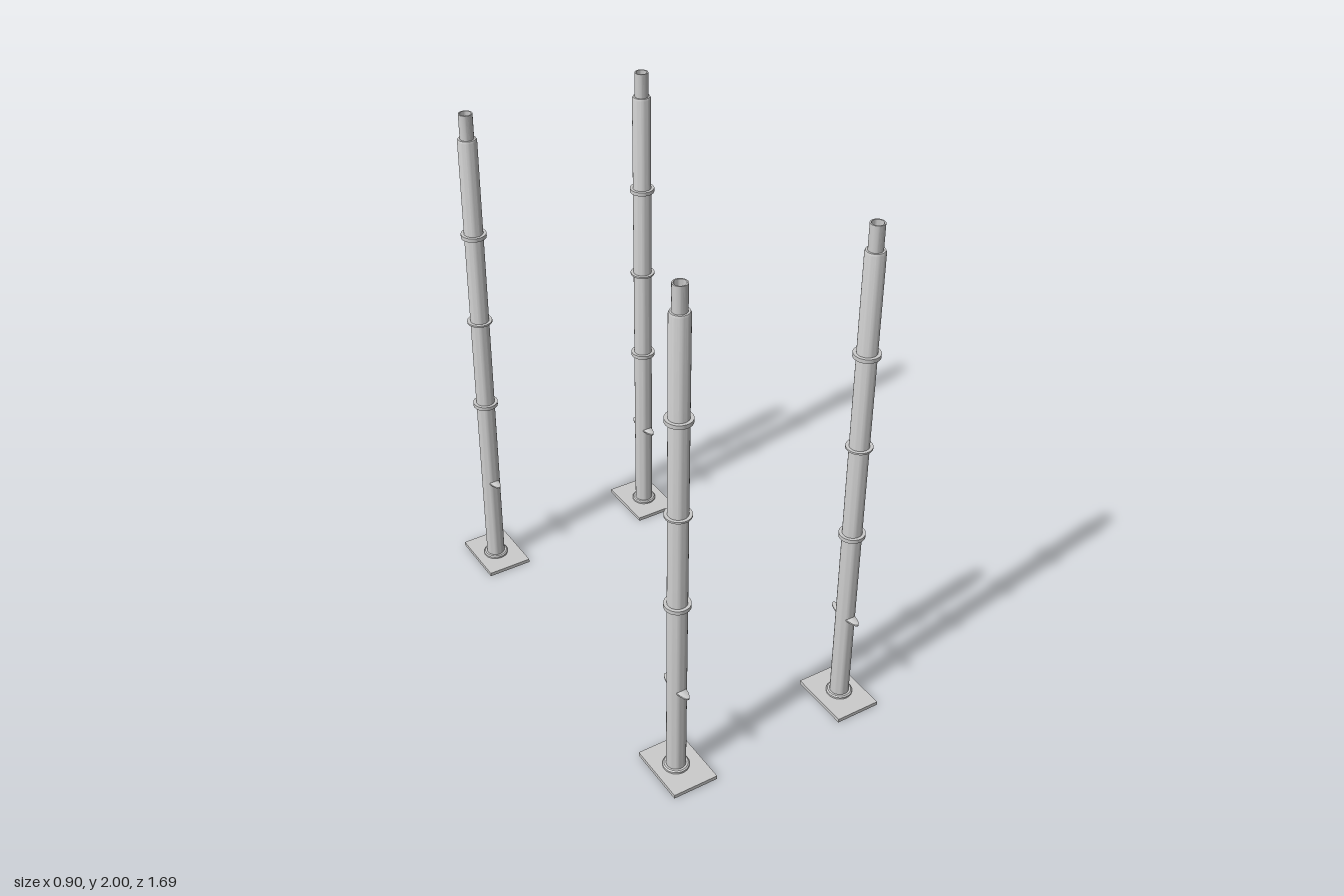
import * as THREE from 'three';
import { toCreasedNormals } from 'three/addons/utils/BufferGeometryUtils.js';

const SIDES = 32;
const material = new THREE.MeshStandardMaterial({ color: 0xcccccc, side: THREE.DoubleSide });

// Solid of revolution from [radius, height] pairs, with sharp edges kept
function turned(points) {
  const profile = points.map(([r, y]) => new THREE.Vector2(r, y));
  return toCreasedNormals(new THREE.LatheGeometry(profile, SIDES), 0.5);
}

function part(name, geometry, y = 0) {
  const mesh = new THREE.Mesh(geometry, material);
  mesh.name = name;
  mesh.position.y = y;
  return mesh;
}

// Flat ring around the tube
function collar(name, y, height) {
  const h = height / 2;
  return part(name, turned([[0.034, -h], [0.048, -h], [0.048, h], [0.034, h]]), y);
}

function createPost() {
  const post = new THREE.Group();

  // Main tube with a chamfered shoulder
  post.add(part('tube', turned([
    [0, 0.012], [0.036, 0.012], [0.036, 1.897], [0.033, 1.904], [0.025, 1.904],
  ])));

  // Hollow spigot on top
  post.add(part('spigot', turned([
    [0.026, 1.89], [0.026, 2], [0.021, 2], [0.021, 1.9], [0, 1.9],
  ])));

  // Connecting collars, the middle one thinner
  post.add(collar('upperCollar', 1.516, 0.015));
  post.add(collar('middleCollar', 1.146, 0.007));
  post.add(collar('lowerCollar', 0.768, 0.015));

  // Foot flange
  post.add(part('footFlange', turned([
    [0, 0.012], [0.049, 0.012], [0.049, 0.022], [0.044, 0.026], [0.034, 0.026],
  ])));

  // Locking wedge through the tube, thinning towards both tips
  const wedge = turned([[0, -0.012], [1, -0.003], [1, 0.003], [0, 0.012]]);
  wedge.scale(0.022, 1, 0.076);
  wedge.computeVertexNormals();
  post.add(part('lockingWedge', wedge, 0.395));

  return post;
}

export function createModel() {
  const model = new THREE.Group();
  model.name = 'supportPosts';

  for (const sx of [1, -1]) {
    for (const sz of [1, -1]) {
      const side = (sz > 0 ? 'front' : 'back') + (sx > 0 ? 'Left' : 'Right');
      const post = createPost();
      post.name = side + 'Post';
      post.position.set(sx * 0.365, 0, sz * 0.717);

      // Base plate, slightly offset from the tube
      const plate = part(side + 'BasePlate', new THREE.BoxGeometry(0.18, 0.015, 0.245), 0.0075);
      plate.position.x = sx * 0.36;
      plate.position.z = sz * 0.72;
      model.add(post, plate);
    }
  }
  return model;
}
